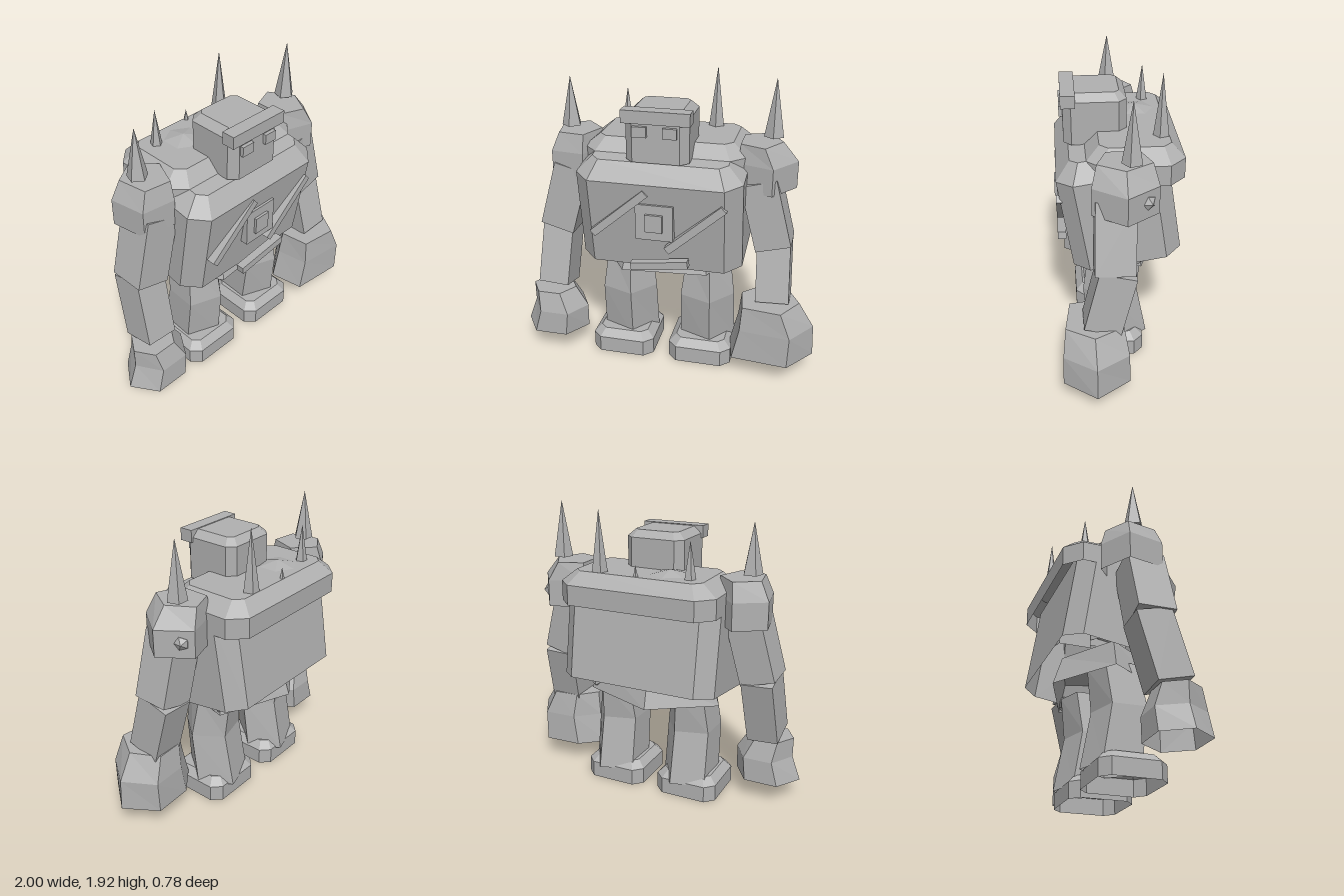
import * as THREE from 'three';

const stone = new THREE.MeshStandardMaterial({ color: 0xb0b0b0, flatShading: true });
stone.name = 'stone grey';
stone.side = THREE.DoubleSide;

// Rectangle with cut corners: half width w, half depth d, corner cut c
function cutRect(cx, y, cz, w, d, c) {
  return [[w, c - d], [w, d - c], [w - c, d], [c - w, d], [-w, d - c], [-w, c - d], [c - w, -d], [w - c, -d]]
    .map(([x, z]) => new THREE.Vector3(cx + x, y, cz + z));
}

// Polygon ring with n corners, the first one toward +x unless turned
function ngon(n, cx, y, cz, rx, rz, turn = 0) {
  return Array.from({ length: n }, (_, i) => {
    const a = turn + (i / n) * Math.PI * 2;
    return new THREE.Vector3(cx + Math.cos(a) * rx, y, cz + Math.sin(a) * rz);
  });
}

// Uneven outline of the larger fist
const fistRing = (cx, y, cz, rx, rz) =>
  [[1, 0], [0.45, 0.97], [-0.85, 0.8], [-1, -0.3], [-0.4, -0.95], [0.5, -1]]
    .map(([x, z]) => new THREE.Vector3(cx + x * rx, y, cz + z * rz));

// Join rings from bottom to top into a faceted shell with an open underside
function loft(rings) {
  const pos = [];
  const tri = (...pts) => pts.forEach((p) => pos.push(p.x, p.y, p.z));
  for (let r = 0; r < rings.length - 1; r++) {
    const a = rings[r], b = rings[r + 1];
    for (let i = 0; i < a.length; i++) {
      const j = (i + 1) % a.length;
      tri(a[i], b[i], b[j]);
      tri(a[i], b[j], a[j]);
    }
  }
  const top = rings[rings.length - 1];
  for (let i = 1; i < top.length - 1; i++) tri(top[0], top[i + 1], top[i]);
  const g = new THREE.BufferGeometry();
  g.setAttribute('position', new THREE.Float32BufferAttribute(pos, 3));
  g.computeVertexNormals();
  return g;
}

export function createModel() {
  const model = new THREE.Group();
  const add = (name, geo, x = 0, y = 0, z = 0) => {
    const m = new THREE.Mesh(geo, stone);
    m.name = name;
    m.position.set(x, y, z);
    model.add(m);
    return m;
  };
  const box = (name, x0, x1, y0, y1, z0, z1) =>
    add(name, new THREE.BoxGeometry(x1 - x0, y1 - y0, z1 - z0), (x0 + x1) / 2, (y0 + y1) / 2, (z0 + z1) / 2);
  // Block running from a low point to a high point
  const limb = (name, low, high, w, d) => {
    const a = new THREE.Vector3(...low), b = new THREE.Vector3(...high);
    const dir = b.clone().sub(a);
    const m = add(name, new THREE.BoxGeometry(w, dir.length(), d));
    m.position.copy(a.add(b).multiplyScalar(0.5));
    m.quaternion.setFromUnitVectors(new THREE.Vector3(0, 1, 0), dir.normalize());
  };

  // Torso leaning forward
  const torso = add('torso', loft([
    cutRect(0, 0, 0, 0.53, 0.34, 0.1),
    cutRect(0, 0.6, 0, 0.53, 0.34, 0.1),
    cutRect(0, 0.7, 0, 0.43, 0.24, 0.05),
  ]), -0.02, 0.78, -0.046);
  torso.rotation.x = 0.155;

  // Slab across the upper back
  add('backSlab', loft([
    cutRect(-0.02, 1.32, -0.095, 0.53, 0.295, 0.1),
    cutRect(-0.02, 1.45, -0.095, 0.53, 0.295, 0.1),
    cutRect(-0.02, 1.53, -0.095, 0.43, 0.215, 0.05),
  ]));

  // Five-sided pelvis, wider at the bottom
  add('pelvis', loft([
    ngon(5, -0.035, 0.675, 0.003, 0.475, 0.335, 0.82),
    ngon(5, -0.035, 0.86, 0, 0.41, 0.27, 0.82),
  ]));

  // Head, brow and eyes
  add('head', loft([
    cutRect(-0.023, 1.445, 0.132, 0.198, 0.195, 0.05),
    cutRect(-0.023, 1.72, 0.132, 0.198, 0.195, 0.05),
    cutRect(-0.023, 1.765, 0.132, 0.15, 0.15, 0.03),
  ]));
  box('brow', -0.235, 0.19, 1.69, 1.77, 0.25, 0.34);
  box('rightEye', -0.165, -0.075, 1.61, 1.675, 0.32, 0.35);
  box('leftEye', 0.025, 0.11, 1.61, 1.675, 0.32, 0.35);

  // Chest plate and carved bars
  box('chestPlate', -0.145, 0.095, 0.955, 1.19, 0.33, 0.378);
  box('chestBoss', -0.08, 0.03, 1.015, 1.13, 0.36, 0.395);
  for (const [x0, y0, x1, y1] of [[-0.425, 0.965, -0.08, 1.265], [0.055, 0.89, 0.41, 1.205], [-0.18, 0.755, 0.19, 0.805]]) {
    const bar = add('chestBar', new THREE.BoxGeometry(Math.hypot(x1 - x0, y1 - y0), 0.05, 0.055),
      (x0 + x1) / 2, (y0 + y1) / 2, 0.358);
    bar.rotation.z = Math.atan2(y1 - y0, x1 - x0);
  }

  // Five-sided legs and hollow feet
  for (const [side, lx, fx] of [['right', -0.28, -0.292], ['left', 0.258, 0.243]]) {
    add(side + 'Leg', loft([
      ngon(5, lx, 0.1, 0.005, 0.195, 0.205, 0.04),
      ngon(5, lx, 0.46, 0.055, 0.19, 0.185, 0.04),
      ngon(5, lx, 0.74, 0.02, 0.15, 0.18, 0.04),
    ]));
    add(side + 'Foot', loft([
      cutRect(fx, 0, 0.057, 0.213, 0.213, 0.06),
      cutRect(fx, 0.11, 0.057, 0.213, 0.213, 0.06),
      cutRect(fx, 0.16, 0.057, 0.165, 0.165, 0.04),
    ]));
  }

  // Right arm
  add('rightShoulder', loft([
    ngon(5, -0.635, 1.235, 0, 0.185, 0.2, -0.2),
    ngon(5, -0.635, 1.41, 0, 0.185, 0.2, -0.2),
    ngon(5, -0.615, 1.53, 0, 0.145, 0.165, -0.2),
  ]));
  limb('rightUpperArm', [-0.748, 0.87, 0.058], [-0.631, 1.3, 0.045], 0.23, 0.24);
  limb('rightForearm', [-0.77, 0.462, 0.147], [-0.745, 0.885, 0.04], 0.207, 0.23);
  add('rightFist', loft([
    ngon(6, -0.778, 0.14, 0.18, 0.222, 0.19),
    ngon(6, -0.748, 0.3, 0.18, 0.193, 0.185),
    ngon(6, -0.79, 0.435, 0.18, 0.152, 0.14),
  ]));

  // Left arm, with the larger fist
  add('leftShoulder', loft([
    ngon(5, 0.61, 1.235, -0.01, 0.2, 0.205),
    ngon(5, 0.61, 1.41, -0.01, 0.2, 0.205),
    ngon(5, 0.57, 1.53, -0.01, 0.14, 0.17),
  ]));
  limb('leftUpperArm', [0.7, 0.87, 0.058], [0.586, 1.3, 0.045], 0.23, 0.24);
  limb('leftForearm', [0.718, 0.5, 0.137], [0.7, 0.885, 0.04], 0.213, 0.23);
  add('leftFist', loft([
    fistRing(0.72, 0.14, 0.18, 0.28, 0.21),
    fistRing(0.74, 0.35, 0.18, 0.25, 0.205),
    fistRing(0.7, 0.515, 0.185, 0.19, 0.18),
  ]));

  // Five-sided spikes: x, base y, tip y, z, radius
  for (const [x, y0, y1, z, r] of [
    [-0.665, 1.55, 1.87, 0, 0.065],
    [0.645, 1.55, 1.92, -0.05, 0.065],
    [0.245, 1.53, 1.92, -0.265, 0.052],
    [-0.345, 1.53, 1.765, -0.21, 0.038],
    [-0.022, 1.53, 1.6, -0.295, 0.016],
  ]) add('spike', new THREE.ConeGeometry(r, y1 - y0, 5), x, (y0 + y1) / 2, z);

  // Low boulder on the back and small embedded stones
  add('boulder', new THREE.ConeGeometry(0.125, 0.03, 6), -0.185, 1.546, -0.14);
  add('shoulderStone', new THREE.IcosahedronGeometry(0.05, 0), 0.7, 1.33, -0.13);
  add('pelvisStone', new THREE.IcosahedronGeometry(0.05, 0), 0.36, 0.73, -0.12);

  return model;
}
